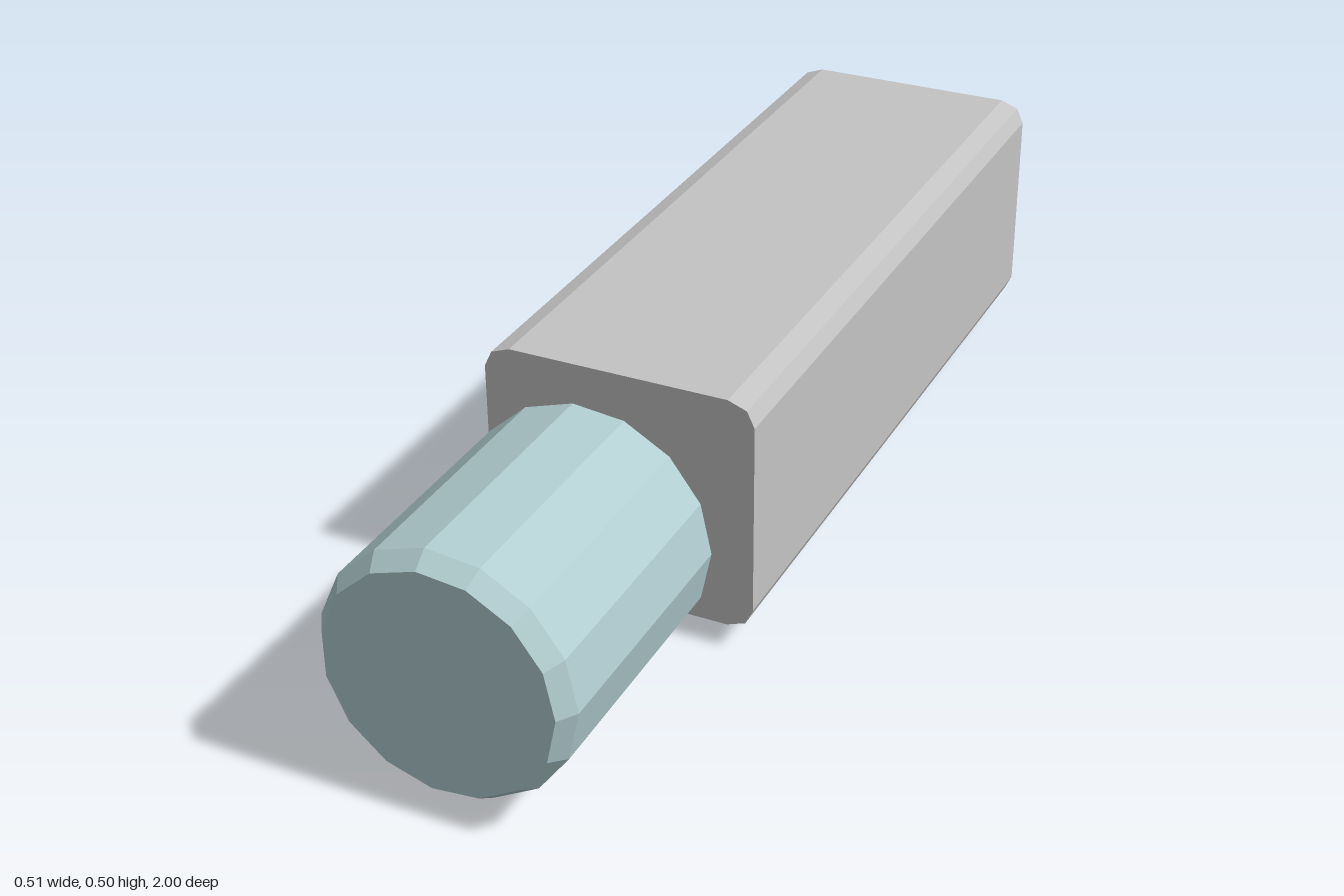
import * as THREE from 'three';

const grey = new THREE.MeshStandardMaterial({ color: 0xc4c4c4, flatShading: true, side: THREE.DoubleSide });
grey.name = 'light grey';
const teal = new THREE.MeshStandardMaterial({ color: 0xb2ced1, flatShading: true, side: THREE.DoubleSide });
teal.name = 'pale teal';

const Z_BACK = -1, Z_FRONT = 0.39, Y_MID = 0.265;

function add(group, name, geometry, material, x = 0, y = 0, z = 0) {
  const mesh = new THREE.Mesh(geometry, material);
  mesh.name = name;
  mesh.position.set(x, y, z);
  group.add(mesh);
  return mesh;
}

// Closed rectangle path used for cut-outs
function rectPath(cx, cy, w, h) {
  return new THREE.Path([
    [-1, -1], [-1, 1], [1, 1], [1, -1],
  ].map(([a, b]) => new THREE.Vector2(cx + a * w / 2, cy + b * h / 2)));
}

// Strip of walls following an open outline along z
function wallStrip(points, z0, z1) {
  const pos = [], index = [];
  points.forEach(([x, y], i) => {
    pos.push(x, y, z0, x, y, z1);
    if (i) {
      const a = 2 * i - 2;
      index.push(a, a + 2, a + 1, a + 1, a + 2, a + 3);
    }
  });
  const g = new THREE.BufferGeometry();
  g.setAttribute('position', new THREE.Float32BufferAttribute(pos, 3));
  g.setIndex(index);
  const flat = g.toNonIndexed();
  flat.computeVertexNormals();
  return flat;
}

export function createModel() {
  const model = new THREE.Group();

  // Thin housing with bevelled corners, open at the back
  const half = [[0.205, 0.045], [0.24, 0.058], [0.254, 0.088], [0.254, 0.452], [0.24, 0.482], [0.205, 0.495]];
  const outline = [...half, ...half.map(([x, y]) => [-x, y]).reverse()];
  add(model, 'housingWalls', wallStrip(outline, Z_BACK, Z_FRONT), grey);
  const capShape = new THREE.Shape(outline.map(([x, y]) => new THREE.Vector2(x, y)));
  add(model, 'housingFront', new THREE.ShapeGeometry(capShape), grey, 0, 0, Z_FRONT);

  // Underside with a rectangular opening; shape y becomes z
  const floor = new THREE.Shape([
    [-0.205, Z_BACK], [0.205, Z_BACK], [0.205, Z_FRONT], [-0.205, Z_FRONT],
  ].map(([x, z]) => new THREE.Vector2(x, z)));
  floor.holes.push(rectPath(0, -0.025, 0.29, 0.25));
  add(model, 'housingFloor', new THREE.ShapeGeometry(floor).rotateX(Math.PI / 2), grey, 0, 0.045, 0);

  // Bevelled rails in front of and behind the opening
  const railShape = new THREE.Shape([
    [-0.155, 0.045], [-0.149, 0.017], [-0.122, 0.003], [0.122, 0.003], [0.149, 0.017], [0.155, 0.045],
  ].map(([x, y]) => new THREE.Vector2(x, y)));
  for (const [name, z0, z1] of [['frontRail', 0.1, 0.26], ['rearRail', -0.23, -0.15]]) {
    add(model, name, new THREE.ExtrudeGeometry(railShape, { depth: z1 - z0, bevelEnabled: false }), grey, 0, 0, z0);
  }
  add(model, 'railPad', new THREE.BoxGeometry(0.16, 0.004, 0.03), grey, 0, 0.002, 0.18);

  // Plate inside the opening with two square holes
  const plate = new THREE.Shape([
    [-0.145, 0.02], [0.145, 0.02], [0.145, 0.14], [-0.145, 0.14],
  ].map(([x, y]) => new THREE.Vector2(x, y)));
  for (const s of [-1, 1]) plate.holes.push(rectPath(s * 0.076, 0.09, 0.05, 0.04));
  add(model, 'slottedPlate', new THREE.ExtrudeGeometry(plate, { depth: 0.04, bevelEnabled: false }), grey, 0, 0, 0.06);

  // Faceted knob: flat front, bevelled rim, barrel, rear cone and neck
  const profile = [
    [0, 0.2], [0.055, 0.2], [0.055, 0.42], [0.227, 0.5], [0.227, 0.967], [0.205, 1], [0, 1],
  ].map(([r, z]) => new THREE.Vector2(r, z));
  const knob = new THREE.LatheGeometry(profile, 15, Math.PI / 2);
  add(model, 'knob', knob.rotateX(Math.PI / 2), teal, 0, Y_MID, 0);

  return model;
}
